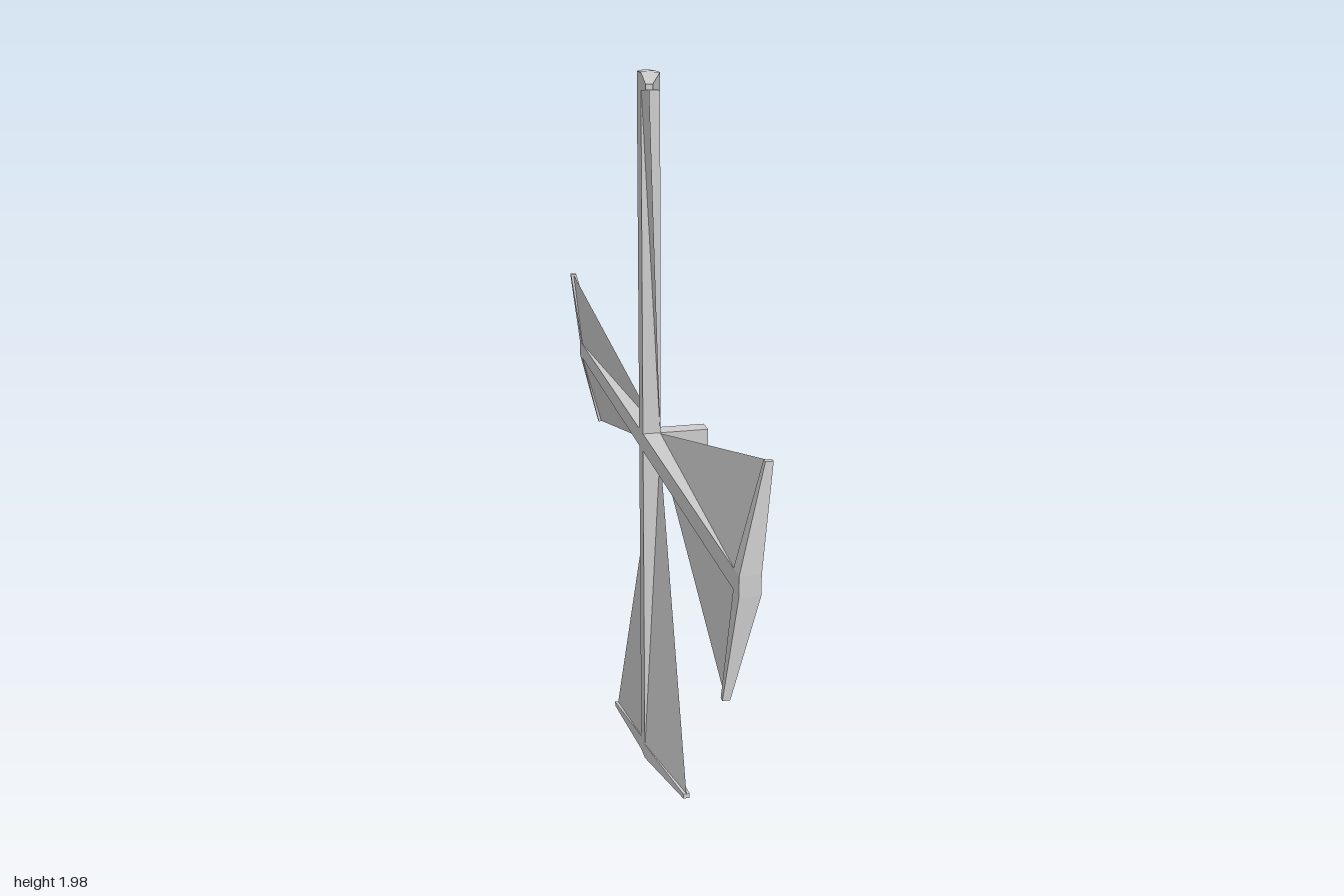
import * as THREE from 'three';

const grey = new THREE.MeshStandardMaterial({ color: 0xcccccc, flatShading: true });
const thin = new THREE.MeshStandardMaterial({ color: 0xcccccc, flatShading: true, side: THREE.DoubleSide });

const HALF = 0.025;          // half thickness of spars and shaft
const MID = -0.055;          // x of the spar centre line
const HUB_Y = 0.99;

function part(name, geometry, material = grey) {
  const mesh = new THREE.Mesh(geometry, material);
  mesh.name = name;
  return mesh;
}

function box(name, x0, x1, y0, y1, z0, z1) {
  const g = new THREE.BoxGeometry(x1 - x0, y1 - y0, z1 - z0);
  g.translate((x0 + x1) / 2, (y0 + y1) / 2, (z0 + z1) / 2);
  return part(name, g);
}

function fromTriangles(points) {
  const g = new THREE.BufferGeometry();
  g.setAttribute('position', new THREE.Float32BufferAttribute(points.flat(), 3));
  g.computeVertexNormals();
  return g;
}

// Joins rectangular sections [z, xCentre, xHalf, yLow, yHigh] running along z
function loft(sections) {
  const rings = sections.map(([z, x, h, y0, y1]) =>
    [[x - h, y0, z], [x + h, y0, z], [x + h, y1, z], [x - h, y1, z]]);
  const tris = [];
  for (let s = 0; s < rings.length - 1; s++) {
    const p = rings[s], q = rings[s + 1];
    for (let i = 0; i < 4; i++) {
      const j = (i + 1) % 4;
      tris.push(p[i], p[j], q[j], p[i], q[j], q[i]);
    }
  }
  const a = rings[0], b = rings[rings.length - 1];
  tris.push(a[0], a[2], a[1], a[0], a[3], a[2]);
  tris.push(b[0], b[1], b[2], b[0], b[2], b[3]);
  return fromTriangles(tris);
}

// One blade pointing up: spar, tapered tip bar and two pitched sail panels
function makeBlade(length, width) {
  const blade = new THREE.Group();
  blade.name = 'blade';
  const pitch = 0.043;
  const inner = length - 0.045;
  blade.add(box('spar', MID - HALF, MID + HALF, 0, inner, -HALF, HALF));

  const corner = [0.009, length - 0.026, length - 0.012];
  const centre = [MID, HALF, inner, length];
  blade.add(part('tipBar', loft([
    [-width, MID - 0.003 + pitch, ...corner],
    [-HALF, ...centre],
    [HALF, ...centre],
    [width, MID - 0.003 - pitch, ...corner],
  ])));

  for (const side of [-1, 1]) {
    blade.add(part('sailPanel', fromTriangles([
      [-0.032, 0.03, side * HALF],
      [-0.079, inner, side * HALF],
      [MID - 0.003 - side * pitch, length - 0.02, side * width],
    ]), thin));
  }
  return blade;
}

export function createModel() {
  const model = new THREE.Group();
  model.name = 'windmillSails';

  // Square drive shaft
  model.add(box('shaft', MID, 0.105, HUB_Y - HALF, HUB_Y + HALF, -HALF, HALF));

  // Top, front, bottom and back blades: [length, half width]
  const sizes = [[0.99, 0.22], [1, 0.275], [0.99, 0.28], [1, 0.26]];
  sizes.forEach(([length, width], i) => {
    const blade = makeBlade(length, width);
    blade.rotation.x = i * Math.PI / 2;
    blade.position.y = HUB_Y;
    model.add(blade);
  });
  return model;
}
